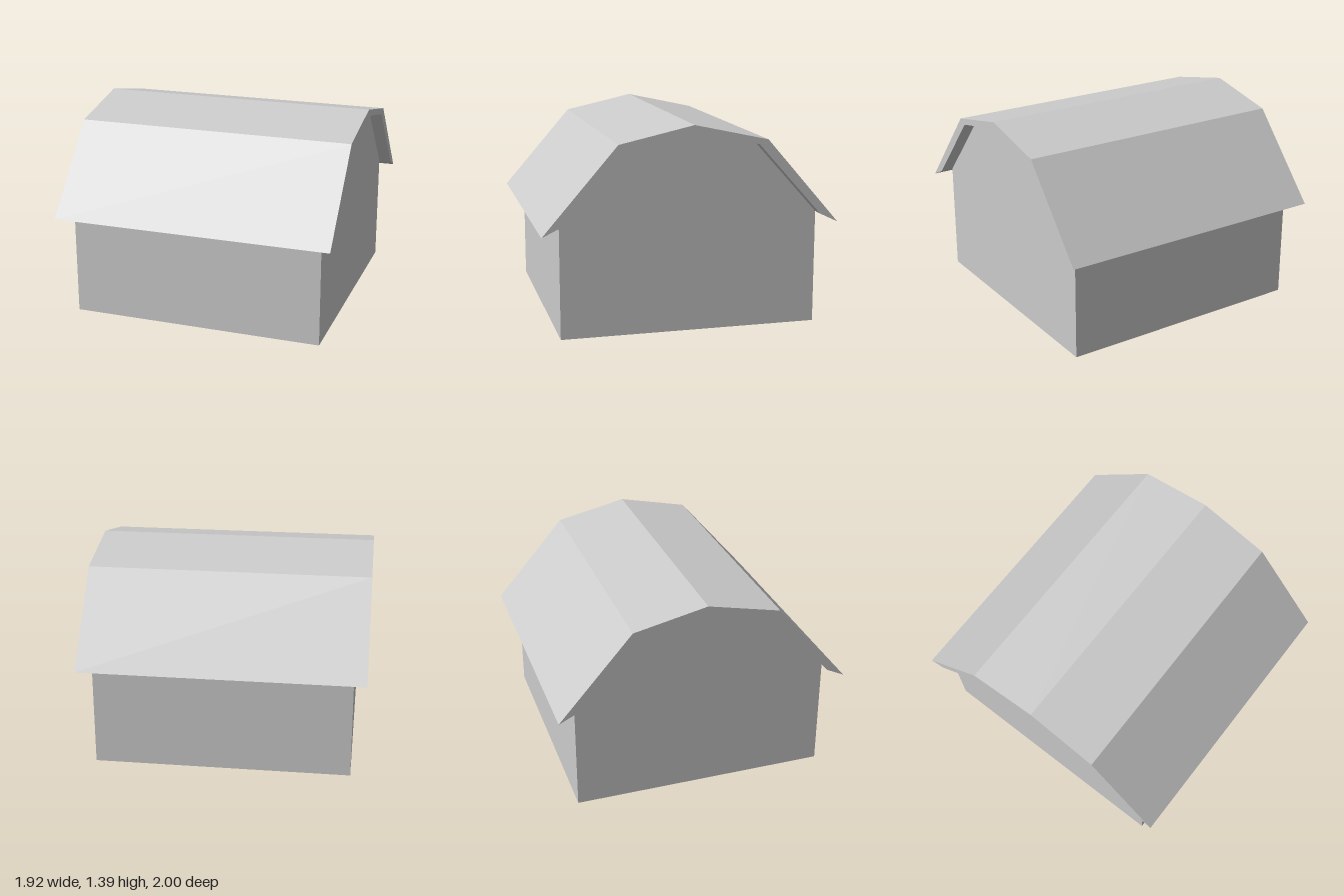
import * as THREE from 'three';

// Gambrel half-profiles as [z, y], from eave to ridge
const OUTER = [[1, 0.71], [0.5, 1.285], [0, 1.395]];
const INNER = [[0.875, 0.77], [0.44, 1.255], [0, 1.35]];

// Mirror a half-profile into a full arch running from +z to -z
const arch = (half) => [...half, ...half.slice(0, -1).reverse().map(([z, y]) => [-z, y])];

// Extrude a z-y outline along x, centred on x = 0
function prism(name, outline, length) {
  const shape = new THREE.Shape(outline.map(([z, y]) => new THREE.Vector2(z, y)));
  const geometry = new THREE.ExtrudeGeometry(shape, { depth: length, bevelEnabled: false });
  geometry.translate(0, 0, -length / 2).rotateY(-Math.PI / 2);
  const mesh = new THREE.Mesh(
    geometry,
    new THREE.MeshStandardMaterial({ color: 0xcccccc, flatShading: true })
  );
  mesh.name = name;
  return mesh;
}

export function createModel() {
  const group = new THREE.Group();
  group.name = 'barn';

  // Walls with gable ends reaching up to the underside of the roof
  group.add(prism('walls', [[0.875, 0], ...arch(INNER), [-0.875, 0]], 1.75));

  // Roof shell overhanging the gables and tapering to the eaves
  group.add(prism('roof', [...arch(OUTER), ...arch(INNER).reverse()], 1.925));

  return group;
}
